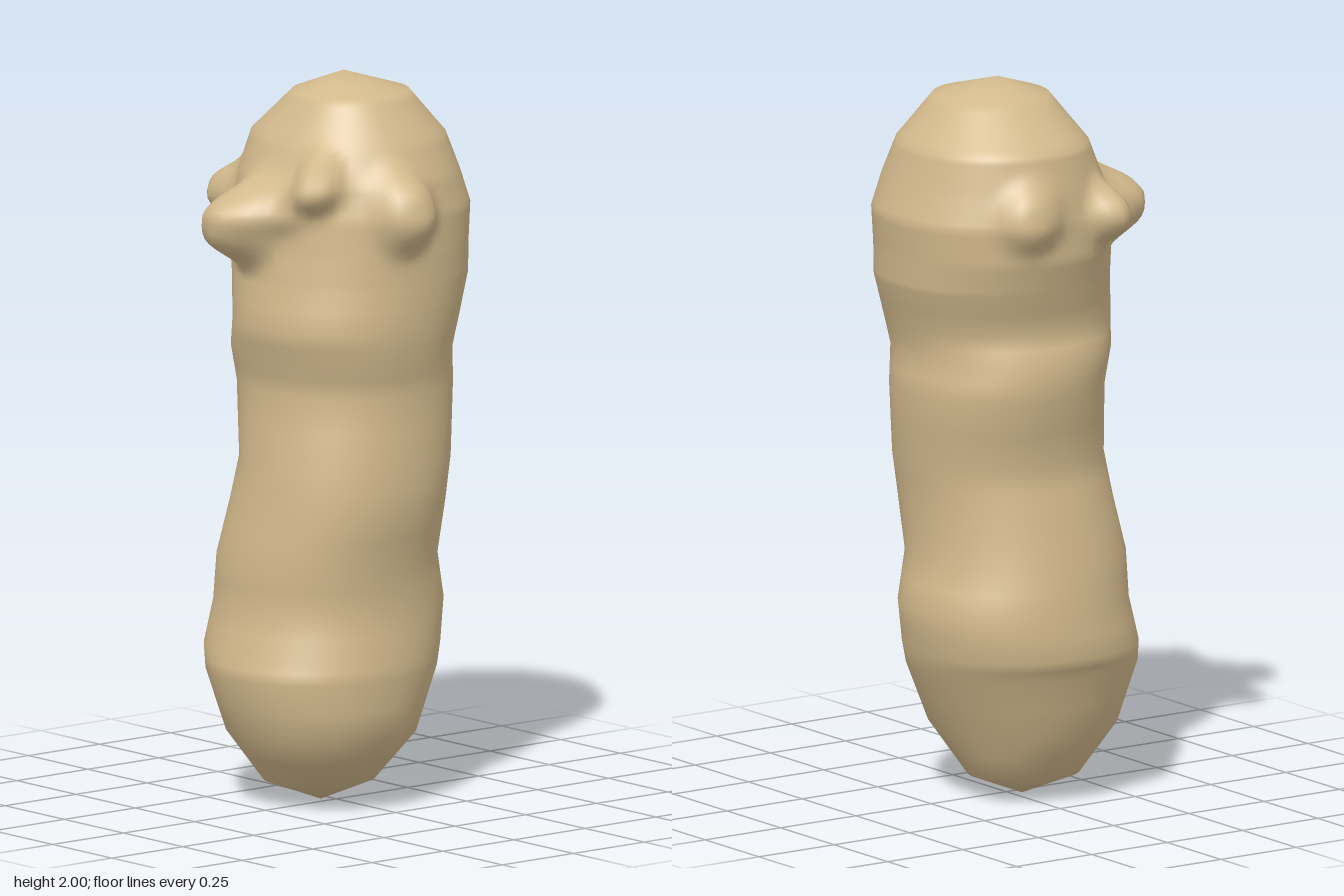
import * as THREE from 'three';

// Body sections: height, right x, left x, back z, front z
const SECTIONS = [
  [0.00, -0.03, -0.03, 0.03, 0.03],
  [0.06, -0.17, 0.11, -0.12, 0.19],
  [0.20, -0.26, 0.25, -0.20, 0.30],
  [0.37, -0.315, 0.27, -0.28, 0.35],
  [0.43, -0.345, 0.265, -0.30, 0.335],
  [0.55, -0.335, 0.25, -0.32, 0.305],
  [0.68, -0.315, 0.26, -0.285, 0.305],
  [0.83, -0.285, 0.29, -0.285, 0.28],
  [0.95, -0.26, 0.29, -0.30, 0.265],
  [1.15, -0.305, 0.275, -0.325, 0.24],
  [1.25, -0.305, 0.295, -0.31, 0.265],
  [1.33, -0.275, 0.305, -0.325, 0.285],
  [1.45, -0.31, 0.305, -0.365, 0.265],
  [1.54, -0.335, 0.305, -0.37, 0.255],
  [1.64, -0.335, 0.30, -0.38, 0.25],
  [1.73, -0.32, 0.28, -0.35, 0.225],
  [1.83, -0.30, 0.235, -0.32, 0.18],
  [1.95, -0.16, 0.15, -0.21, 0.10],
  [2.00, -0.03, -0.03, -0.05, -0.05],
];

// Head knobs: tip x, y, z, half width, half height, outward push
const KNOBS = [
  [-0.09, 1.615, 0.38, 0.125, 0.105, 0.135], // snout
  [0.19, 1.74, 0.25, 0.075, 0.075, 0.085],   // left brow knob
  [0.06, 1.67, 0.30, 0.10, 0.07, 0.035],     // ridge between snout and brow
  [0.37, 1.665, 0.01, 0.10, 0.105, 0.08],    // left ear
  [-0.34, 1.65, 0.14, 0.07, 0.075, 0.085],   // right ear
  [-0.36, 1.67, -0.16, 0.09, 0.09, 0.05],    // right rear bump
];

// Linear blend of the section table at height y
function sectionAt(y) {
  let i = 0;
  while (i < SECTIONS.length - 2 && y > SECTIONS[i + 1][0]) i++;
  const a = SECTIONS[i], b = SECTIONS[i + 1];
  const t = (y - a[0]) / (b[0] - a[0]);
  return a.map((v, k) => v + (b[k] - v) * t);
}

// Point on the skin, with the knobs pushed outwards
function skinPoint(y, angle) {
  const [, x0, x1, z0, z1] = sectionAt(y);
  const soft = (v) => Math.sign(v) * Math.pow(Math.abs(v), 0.93);
  let x = (x0 + x1) / 2 + soft(Math.sin(angle)) * (x1 - x0) / 2;
  let z = (z0 + z1) / 2 + soft(Math.cos(angle)) * (z1 - z0) / 2;
  const r = Math.hypot(x, z) || 1;
  const dx = x / r, dz = z / r;
  for (const [kx, ky, kz, w, h, push] of KNOBS) {
    const kr = Math.hypot(kx, kz);
    if (dx * kx + dz * kz <= 0) continue;
    const side = (dx * kz - dz * kx) / w;
    const d = side * side + ((y - ky) / h) ** 2;
    const amount = push * Math.exp(-Math.pow(d, 1.7) * 1.1) * Math.min(1, kr / 0.3);
    x += dx * amount;
    z += dz * amount;
  }
  return [x, y, z];
}

// Closed skin made of rings between two poles
function skinGeometry(segments = 72) {
  const heights = [];
  for (let i = 0; i < SECTIONS.length - 1; i++) {
    const a = SECTIONS[i][0], b = SECTIONS[i + 1][0];
    const steps = a >= 1.4 && a < 1.9 ? 6 : 2;
    for (let s = 0; s < steps; s++) heights.push(a + (b - a) * s / steps);
  }
  heights.shift();

  const positions = [-0.03, 0, 0.03];
  for (const y of heights) {
    for (let j = 0; j < segments; j++) {
      positions.push(...skinPoint(y, j / segments * Math.PI * 2));
    }
  }
  positions.push(-0.03, 2, -0.05);

  const index = [];
  const top = positions.length / 3 - 1;
  const id = (ring, j) => 1 + ring * segments + j % segments;
  for (let j = 0; j < segments; j++) {
    index.push(0, id(0, j + 1), id(0, j));
    for (let r = 0; r < heights.length - 1; r++) {
      const a = id(r, j), b = id(r, j + 1), c = id(r + 1, j + 1), d = id(r + 1, j);
      index.push(a, b, c, a, c, d);
    }
    index.push(top, id(heights.length - 1, j), id(heights.length - 1, j + 1));
  }

  const geometry = new THREE.BufferGeometry();
  geometry.setAttribute('position', new THREE.Float32BufferAttribute(positions, 3));
  geometry.setIndex(index);
  geometry.computeVertexNormals();
  return geometry;
}

export function createModel() {
  const tan = new THREE.MeshStandardMaterial({ color: 0xd2b98c });
  tan.name = 'tan';

  const group = new THREE.Group();
  group.name = 'knobblyFigure';
  const body = new THREE.Mesh(skinGeometry(), tan);
  body.name = 'bodyAndHead';
  group.add(body);
  return group;
}
